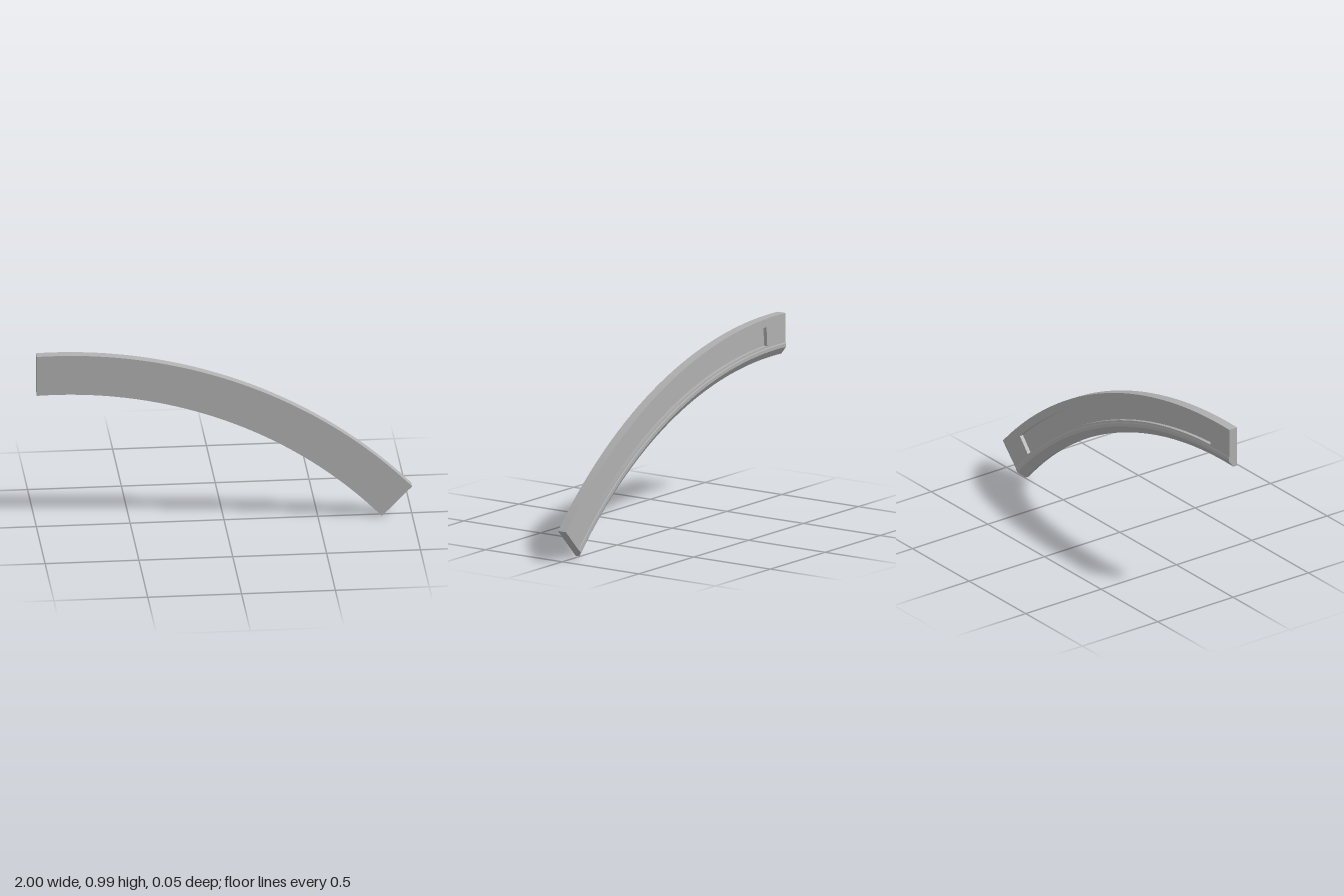
import * as THREE from 'three';

const FRONT = 0.0275, BACK = -0.0245, RIDGE = -0.0275, FLOOR = -0.004;
const STEPS = 64;

// height of a circular arc at x
const arc = (x, cx, cy, r) => cy + Math.sqrt(r * r - (x - cx) ** 2);

// t runs along the arch, v across it from the outer to the inner edge
function point(t, [v, z]) {
  const xo = -1 + 2 * t, xi = -1 + 1.839 * t;
  const yo = arc(xo, -0.92, -1.648, 2.64);
  const yi = arc(xi, -0.913, -1.612, 2.38);
  return [xo + (xi - xo) * v, Math.max(0, yo + (yi - yo) * v), z];
}

function makeGeometry(positions, index) {
  const g = new THREE.BufferGeometry();
  g.setAttribute('position', new THREE.Float32BufferAttribute(positions, 3));
  g.setIndex(index);
  g.computeVertexNormals();
  return g;
}

// sweep a cross-section; each side is its own ribbon so its edges stay sharp
function sweep(profile, t0, t1) {
  const pos = [], idx = [];
  const n = Math.max(3, Math.ceil((t1 - t0) * STEPS));
  for (let k = 0; k < profile.length; k++) {
    const base = pos.length / 3, next = profile[(k + 1) % profile.length];
    for (let i = 0; i <= n; i++) {
      const t = t0 + (t1 - t0) * i / n;
      pos.push(...point(t, profile[k]), ...point(t, next));
      if (i < n) {
        const a = base + i * 2;
        idx.push(a, a + 2, a + 1, a + 2, a + 3, a + 1);
      }
    }
  }
  return makeGeometry(pos, idx);
}

// flat fan across the arch at t
function cap(profile, t, flip) {
  const pts = flip ? [...profile].reverse() : profile;
  const idx = [];
  for (let i = 1; i < pts.length - 1; i++) idx.push(0, i, i + 1);
  return makeGeometry(pts.flatMap(p => point(t, p)), idx);
}

export function createModel() {
  const group = new THREE.Group();
  group.name = 'curvedTrim';
  const grey = new THREE.MeshStandardMaterial({ color: 0xb0b0b0 });
  grey.name = 'grey';
  const add = (name, geometry) => {
    const mesh = new THREE.Mesh(geometry, grey);
    mesh.name = name;
    group.add(mesh);
  };

  // cross-section: outer edge, back face, low ridge, chamfered inner edge
  const outer = [[0, FRONT], [0, BACK]];
  const inner = [[0.71, BACK], [0.74, RIDGE], [0.82, RIDGE], [1, 0.003], [1, FRONT]];
  const recess = [[0.2, BACK], [0.2, FLOOR], [0.67, FLOOR], [0.67, BACK]];
  const solid = [...outer, ...inner];
  const hollow = [...outer, ...recess, ...inner];
  const r0 = 0.088, r1 = 0.94;

  add('leftEndSection', sweep(solid, r1, 1));
  add('recessedSection', sweep(hollow, r0, r1));
  add('rightEndSection', sweep(solid, 0, r0));

  // end faces
  add('rightEndFace', cap(solid, 0, false));
  add('leftEndFace', cap(solid, 1, true));

  // short walls of the back recess
  add('rightRecessWall', cap(recess, r0, false));
  add('leftRecessWall', cap(recess, r1, true));
  return group;
}
